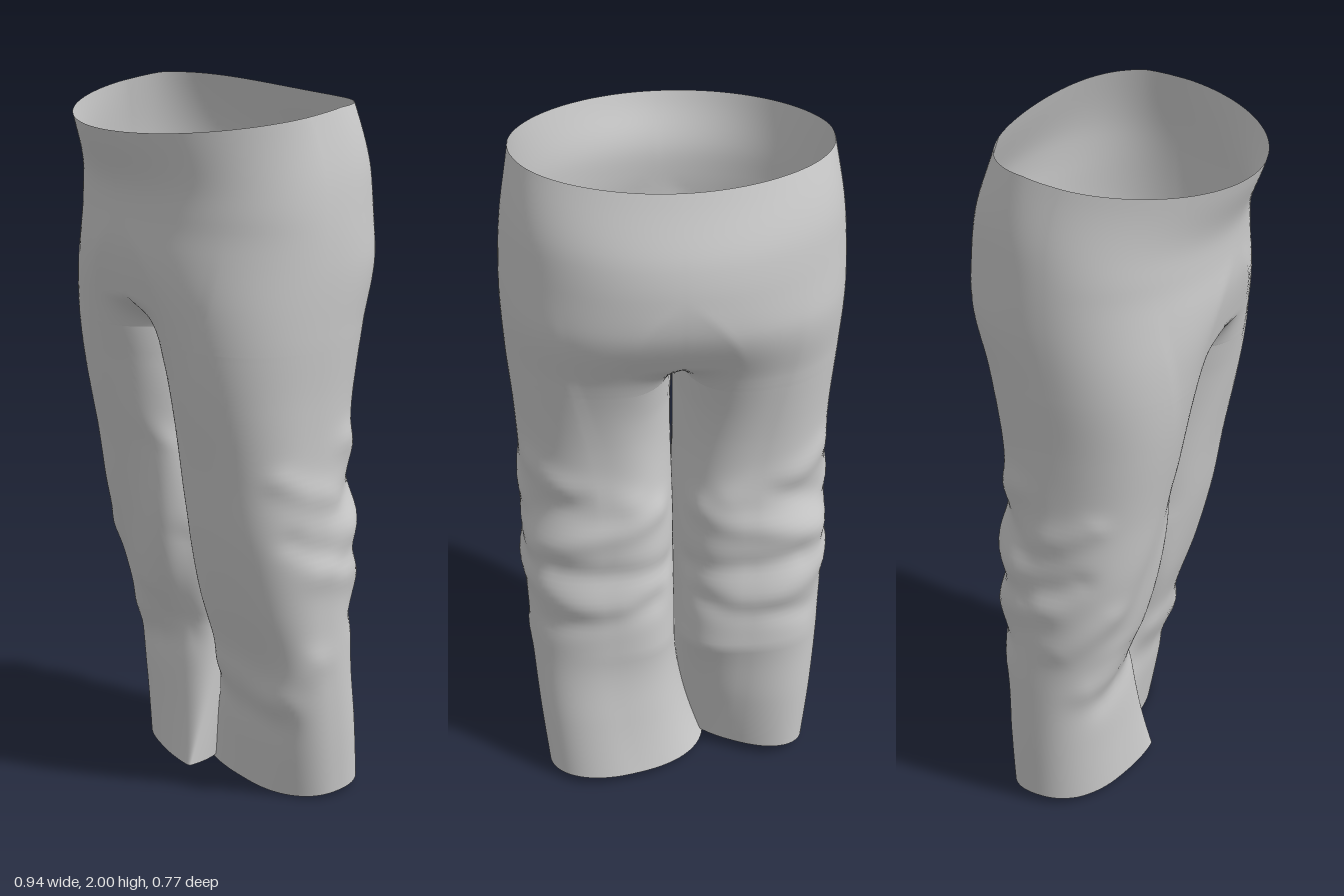
import * as THREE from 'three';
import { mergeVertices } from 'three/addons/utils/BufferGeometryUtils.js';

const V = (x, y, z) => new THREE.Vector3(x, y, z);
const { clamp, lerp, smoothstep } = THREE.MathUtils;
const spow = (v, e) => Math.sign(v) * Math.abs(v) ** e;

const CROTCH = 1.36;  // height where the trunk splits into two legs
const COLS = 96;

// half width, front z and back z, at every 0.2 of height from hem to waist
const profile = new THREE.CatmullRomCurve3([
  V(0.385, 0, -0.31), V(0.405, 0.03, -0.28), V(0.42, 0.065, -0.25), V(0.43, 0.13, -0.25),
  V(0.44, 0.18, -0.25), V(0.435, 0.215, -0.235), V(0.445, 0.255, -0.245), V(0.462, 0.292, -0.29),
  V(0.47, 0.33, -0.375), V(0.46, 0.337, -0.367), V(0.43, 0.39, -0.30),
], false, 'catmullrom', 0.5);

// cloth folds: start t, y, end t, y, height, width
// (t runs round a leg: 0 inner, 0.25 front, 0.5 outer, 0.75 back)
const backFolds = [
  [0.6, 1.08, 0.78, 0.98, 0.011, 0.045], [0.55, 0.9, 0.72, 1.0, -0.01, 0.04],
  [0.6, 0.82, 0.85, 0.93, 0.013, 0.045], [0.66, 0.76, 0.9, 0.72, -0.011, 0.04],
  [0.52, 0.72, 0.75, 0.62, 0.012, 0.05], [0.62, 0.55, 0.85, 0.62, -0.009, 0.04],
  [0.44, 1.0, 0.54, 0.92, 0.009, 0.035], [0.45, 0.82, 0.55, 0.74, -0.009, 0.035],
];
const folds = {
  left: [...backFolds,
    [0.1, 0.75, 0.2, 0.4, 0.009, 0.06], [0.2, 0.36, 0.36, 0.31, 0.011, 0.055],
    [0.17, 0.26, 0.33, 0.23, -0.006, 0.05], [0.34, 0.32, 0.46, 0.45, 0.009, 0.045]],
  right: [...backFolds,
    [0.1, 1.0, 0.22, 0.55, 0.014, 0.055], [0.17, 1.0, 0.3, 0.6, -0.008, 0.055],
    [0.22, 0.46, 0.36, 0.42, 0.011, 0.055], [0.15, 0.4, 0.3, 0.34, -0.008, 0.05],
    [0.1, 0.7, 0.17, 0.45, -0.009, 0.05], [0.36, 0.68, 0.46, 0.58, 0.009, 0.045]],
};

function foldHeight(list, t, y) {
  let sum = 0;
  for (const [t0, y0, t1, y1, height, width] of list) {
    const dx = t1 - t0, dy = y1 - y0;
    const k = clamp(((t - t0) * dx + (y - y0) * dy) / (dx * dx + dy * dy), 0, 1);
    const d = Math.hypot(t - t0 - k * dx, y - y0 - k * dy) / width;
    sum += height * Math.exp(-d * d);
  }
  return sum * Math.min(1, 10 * t, 10 * (1 - t));
}

// unit section of one half: half oval on the hips, closed loop on the leg;
// the seam closes quickly at the crotch, the rest changes slowly
function unitSection(y, top) {
  const k = clamp((y - CROTCH) / 0.2, 0, 1);
  const seam = 1 - Math.sqrt(1 - (1 - k) ** 2);
  const body = 1 - smoothstep(y, 0.9, 1.7);
  const pts = [];
  let mx = 0, front = 0, back = 0;
  for (let j = 0; j <= COLS; j++) {
    const t = j / COLS, a = Math.PI * t, c = Math.cos(2 * a), ends = j % COLS === 0;
    const hipX = Math.sin(a);
    const hipZ = spow(Math.cos(a), t < 0.5 ? lerp(1, 1.15, top) : lerp(0.88, 0.72, top));
    const legX = 0.5 - 0.5 * spow(c, c > 0 ? 0.65 : 0.9);
    const legZ = ends ? 0 : spow(Math.sin(2 * a), 0.85);
    // size is measured without the seam so that it changes smoothly
    mx = Math.max(mx, lerp(hipX, legX, body));
    front = Math.max(front, lerp(hipZ, legZ, body));
    back = Math.max(back, -lerp(hipZ, legZ, body));
    const near = Math.exp(-((Math.min(t, 1 - t) / 0.08) ** 2));
    const split = lerp(body, seam, near);
    pts.push([ends ? 0 : lerp(hipX, legX, split), lerp(hipZ, legZ, split)]);
  }
  return pts.map(([x, z]) => [x / mx, clamp(z / (z > 0 ? front : back), -1, 1)]);
}

// row heights, closer together near the crotch
const rows = [];
for (let i = 0; i <= 44; i++) rows.push(CROTCH + (2 - CROTCH) * (1 - i / 44) ** 1.9);
for (let i = 1; i <= 70; i++) rows.push(CROTCH * (1 - i / 70));

function addHalf(name, side, pos, idx) {
  const base = pos.length / 3;
  for (const row of rows) {
    const { x: w, y: front, z: back } = profile.getPoint(row / 2);
    const low = clamp(1 - row / 0.45, 0, 1), hem = clamp(1 - row / 0.4, 0, 1);
    const top = smoothstep(row, 1.7, 2);
    // a slim gap between the thighs that closes at the knees
    let zf = front, zb = back;
    let inner = 0.001 + 0.005 * smoothstep(row, 0.85, 1.15);
    inner *= clamp((CROTCH - row) / 0.1, 0, 1);
    if (side < 0) { zf += 0.075 * low; zb += 0.1 * low; } else inner -= 0.09 * low * low;
    const zm = (zf + zb) / 2 - 0.035 * top;

    unitSection(row, top).forEach(([ux, uz], j) => {
      const bump = foldHeight(folds[name], j / COLS, row);
      let x = inner + (w - inner) * ux, z = zm + uz * (uz > 0 ? zf - zm : zm - zb);
      // push folds out from the middle of the leg
      const dx = x - w / 2, dz = z - zm, len = Math.hypot(dx, dz) || 1;
      x += bump * dx / len;
      z += bump * dz / len;
      // hems point forward at the inner seam, and the right leg also twists
      z += 0.11 * low * (1 - ux) ** 2 * (1 - Math.max(0, uz));
      if (side < 0) z -= 0.25 * low * (x - 0.2);
      // waist dips at the front, hems rise towards the back
      let y = row - 0.062 * top * Math.max(0, (z + 0.1) / 0.48) - 0.02 * top * Math.max(0, -z / 0.3) ** 4;
      y += hem * (Math.max(0, -z * 0.09) + (side < 0 ? 0.014 : 0));
      pos.push(side * x, y, z);
    });
  }
  const n = COLS + 1;
  for (let i = 0; i < rows.length - 1; i++) for (let j = 0; j < COLS; j++) {
    const a = base + i * n + j, b = a + 1, c = a + n, d = c + 1;
    if (side > 0) idx.push(a, c, b, b, c, d);
    else idx.push(a, b, c, b, d, c);
  }
}

export function createModel() {
  const group = new THREE.Group();
  group.name = 'trousers';
  const pos = [], idx = [];
  addHalf('left', 1, pos, idx);
  addHalf('right', -1, pos, idx);
  let geo = new THREE.BufferGeometry();
  geo.setAttribute('position', new THREE.Float32BufferAttribute(pos, 3));
  geo.setIndex(idx);
  geo = mergeVertices(geo, 1e-5); // joins the centre and inner leg seams
  geo.computeVertexNormals();
  const cloth = new THREE.Mesh(geo, new THREE.MeshStandardMaterial({ color: 0xcccccc, side: THREE.DoubleSide }));
  cloth.name = 'trouserCloth';
  group.add(cloth);
  return group;
}
